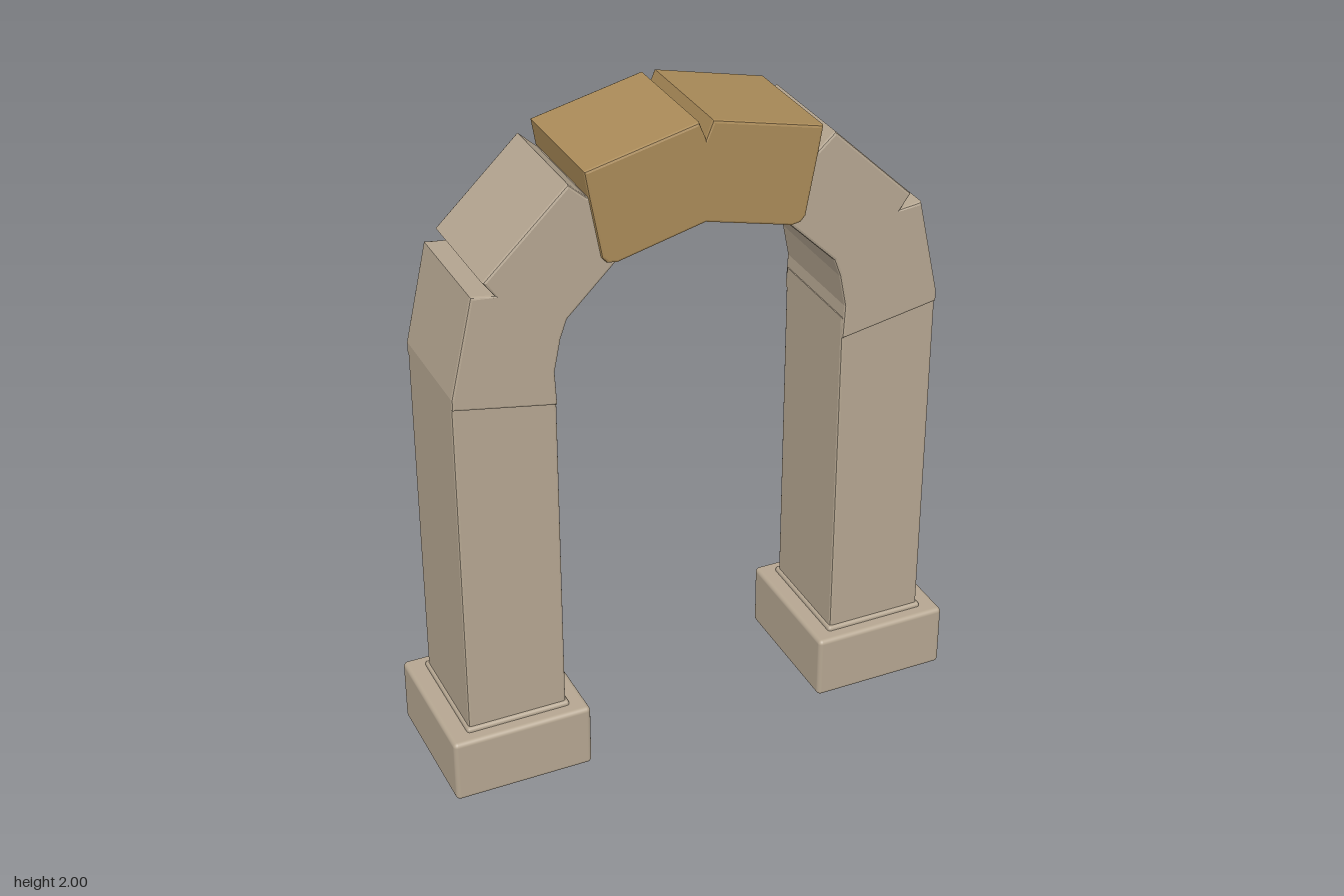
import * as THREE from 'three';
import { RoundedBoxGeometry } from 'three/addons/geometries/RoundedBoxGeometry.js';

const BEVEL = 0.008;

// Extrudes an outline symmetrically about z = 0, with softly worn edges
function slab(points, depth, material, name) {
  const shape = new THREE.Shape(points.map(([x, y]) => new THREE.Vector2(x, y)));
  const geometry = new THREE.ExtrudeGeometry(shape, {
    depth: depth - 2 * BEVEL, bevelEnabled: true, bevelThickness: BEVEL,
    bevelSize: BEVEL, bevelOffset: -BEVEL, bevelSegments: 2,
  });
  geometry.translate(0, 0, BEVEL - depth / 2);
  const mesh = new THREE.Mesh(geometry, material);
  mesh.name = name;
  return mesh;
}

export function createModel() {
  const stone = new THREE.MeshStandardMaterial({ color: 0xb5a691 });
  stone.name = 'pale stone';
  const sandstone = new THREE.MeshStandardMaterial({ color: 0xa98a58 });
  sandstone.name = 'golden sandstone';

  const group = new THREE.Group();
  group.name = 'stoneArch';

  // Straight shaft, slightly thinner than the arch stones
  const shaft = [[0.44, 0.18], [0.745, 0.18], [0.745, 1.3], [0.44, 1.3]];
  // Curved arch stones with a notch at each outer joint
  const haunch = [
    [0.44, 1.235], [0.745, 1.29], [0.745, 1.325], [0.678, 1.622], [0.61, 1.612],
    [0.642, 1.655], [0.394, 1.892], [0.342, 1.845], [0.27, 1.84],
    [0.24, 1.66], [0.26, 1.637], [0.405, 1.495], [0.425, 1.44], [0.445, 1.34],
  ];
  // Half of the crown, from the peak notch down to the underside
  const crown = [[0.02, 2.0], [0.352, 1.922], [0.34, 1.85], [0.305, 1.66], [0.29, 1.643], [0.262, 1.638]];

  for (const side of [1, -1]) {
    const label = side > 0 ? 'left' : 'right';
    const mirror = (points) => points.map(([x, y]) => [side * x, y]);

    const foot = new THREE.Mesh(new RoundedBoxGeometry(0.43, 0.205, 0.45, 3, 0.014), stone);
    foot.name = label + 'Foot';
    foot.position.set(side * 0.595, 0.1025, 0);

    // Thin fillet where the shaft meets its foot
    const collar = new THREE.Mesh(new RoundedBoxGeometry(0.322, 0.03, 0.37, 2, 0.01), stone);
    collar.name = label + 'Collar';
    collar.position.set(side * 0.5925, 0.203, 0);

    group.add(
      foot, collar,
      slab(mirror(shaft), 0.35, stone, label + 'Shaft'),
      slab(mirror(haunch), 0.364, stone, label + 'Haunch'),
    );
  }

  // Crown stones, joined under a shallow notch
  const outline = [
    [0, 1.948], ...crown, [0, 1.703],
    ...crown.map(([x, y]) => [-x, y]).reverse(),
  ];
  group.add(slab(outline, 0.382, sandstone, 'crown'));
  return group;
}
